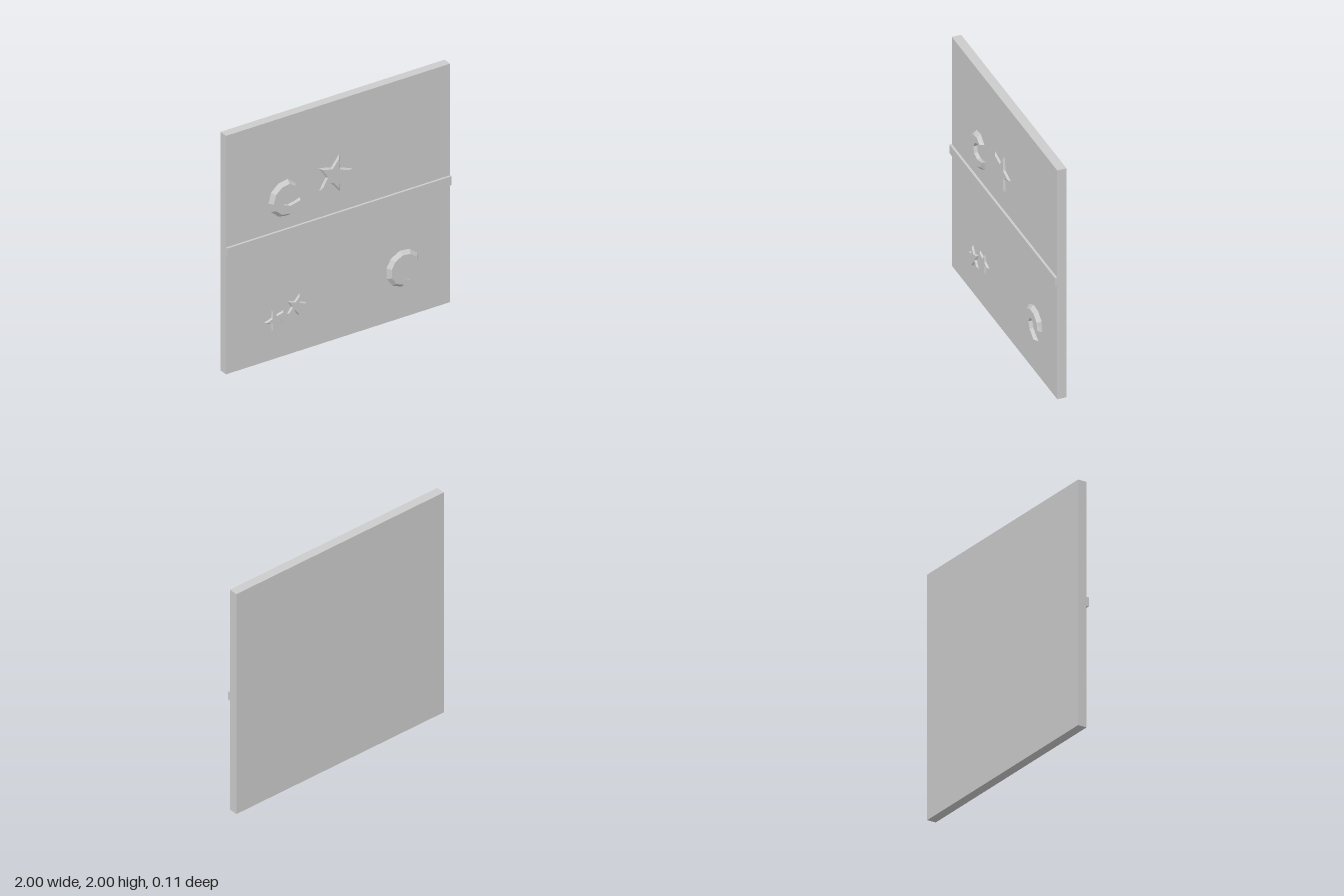
import * as THREE from 'three';

const FRONT = 0.022; // front face of the panel

// Raised ornament: base outline joined to an inset top outline, with a flat cap
function bevelledRelief(base, top, height) {
  const n = base.length;
  const pos = [];
  const put = (p, z) => pos.push(p.x, p.y, z);
  for (let i = 0; i < n; i++) {
    const j = (i + 1) % n;
    put(base[i], 0); put(base[j], 0); put(top[j], height);
    put(base[i], 0); put(top[j], height); put(top[i], height);
  }
  for (const face of THREE.ShapeUtils.triangulateShape(top, [])) {
    face.forEach((k) => put(top[k], height));
  }
  const geo = new THREE.BufferGeometry();
  geo.setAttribute('position', new THREE.Float32BufferAttribute(pos, 3));
  geo.computeVertexNormals();
  return geo;
}

const polar = (r, deg) => {
  const a = THREE.MathUtils.degToRad(deg);
  return new THREE.Vector2(r * Math.cos(a), r * Math.sin(a));
};

// Five-pointed star outline, first point along +x
function starOutline(outer, inner) {
  return Array.from({ length: 10 }, (_, i) => polar(i % 2 ? inner : outer, i * 36));
}

// Blunt-ended crescent opening towards +x
function moonOutline(radius, tipX, tipY) {
  const outer = [66, 98, 131, 165, 195, 229, 262, 294].map((d) => polar(radius, d));
  const half = [[0.058, 0.069], [0, 0.063], [-0.045, 0.027]];
  const inner = [
    ...half.map(([x, y]) => new THREE.Vector2(x, -y)),
    ...half.slice().reverse().map(([x, y]) => new THREE.Vector2(x, y)),
  ];
  return [new THREE.Vector2(tipX, tipY), ...outer, new THREE.Vector2(tipX, -tipY), ...inner];
}

export function createModel() {
  const group = new THREE.Group();
  const mat = new THREE.MeshStandardMaterial({ color: 0xcccccc, flatShading: true });
  const add = (name, geo, x, y, z, deg = 0) => {
    const mesh = new THREE.Mesh(geo, mat);
    mesh.name = name;
    mesh.position.set(x, y, z);
    mesh.rotation.z = THREE.MathUtils.degToRad(deg);
    group.add(mesh);
  };

  // Panel and horizontal rail
  add('panel', new THREE.BoxGeometry(2, 2, 0.075), 0, 1, FRONT - 0.0375);
  add('rail', new THREE.BoxGeometry(2, 0.075, 0.03), 0, 1.027, 0.026);

  // Crescent moons
  const moon = bevelledRelief(moonOutline(0.154, 0.112, 0.068), moonOutline(0.126, 0.094, 0.069), 0.031);
  add('upperMoon', moon, -0.468, 1.32, FRONT, 17);
  add('lowerMoon', moon, 0.58, 0.415, FRONT, -30);

  // Stars
  const star = (name, size, x, y, deg) => {
    const inset = size > 0.12 ? 0.8 : 0.78;
    const geo = bevelledRelief(
      starOutline(size, size * 0.43), starOutline(size * inset, size * 0.43 * inset), 0.014);
    add(name, geo, x, y, FRONT, deg);
  };
  star('largeStar', 0.166, -0.04, 1.385, 1);
  star('smallStarRight', 0.097, -0.565, 0.328, 36);
  star('smallStarLeft', 0.096, -0.38, 0.392, -2);

  return group;
}
